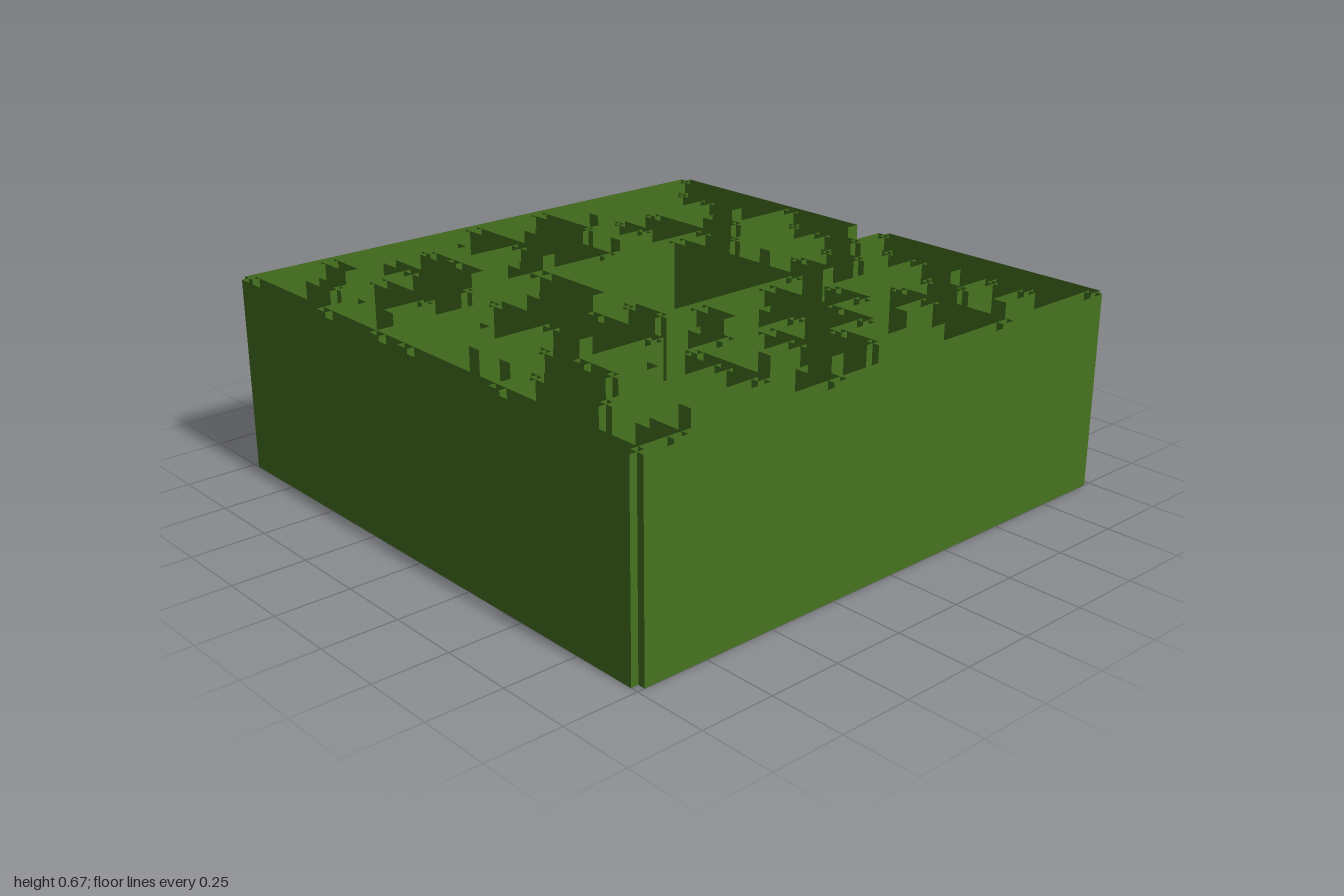
import * as THREE from 'three';

const N = 13;            // cells per side
const PITCH = 0.15;      // cell size
const THICK = 0.05;      // wall thickness
const HEIGHT = 0.67;
const post = (i) => -0.975 + i * PITCH;

function seeded(seed) {
  return () => {
    seed = (seed * 1664525 + 1013904223) % 4294967296;
    return seed / 4294967296;
  };
}

// Straight wall along x, square at its ends, open above and below
function wallGeometry(length) {
  const g = new THREE.BoxGeometry(length, HEIGHT, THICK);
  const index = Array.from(g.index.array);
  g.setIndex([...index.slice(0, 12), ...index.slice(24)]);
  g.clearGroups();
  return g;
}

// across[line][column] are walls along x, along[line][row] are walls along z
function planMaze() {
  const random = seeded(29);
  const grid = () => Array.from({ length: N + 1 }, () => Array(N).fill(true));
  const across = grid(), along = grid();
  const inRoom = (c, r) => c >= 4 && c <= 7 && r >= 4 && r <= 7;
  const visited = Array.from({ length: N }, (_, r) =>
    Array.from({ length: N }, (_, c) => inRoom(c, r)));
  // Walls that are never carved through, as line,cell
  const keptAcross = new Set(['1,1', '1,5', '1,6', '3,3', '3,4', '6,1', '6,2', '6,3',
    '7,0', '7,1', '7,2', '9,1', '9,5', '9,6']);
  const keptAlong = new Set(['1,1', '1,2', '1,3', '7,0', '7,8']);

  // Carve corridors from the entrance
  const stack = [[6, 0]];
  visited[0][6] = true;
  while (stack.length) {
    const [c, r] = stack[stack.length - 1];
    const options = [[1, 0], [-1, 0], [0, 1], [0, -1]].filter(([dc, dr]) => {
      const row = visited[r + dr];
      if (!row || row[c + dc] !== false) return false;
      return dr
        ? !keptAcross.has(`${Math.max(r, r + dr)},${c}`)
        : !keptAlong.has(`${Math.max(c, c + dc)},${r}`);
    });
    if (!options.length) { stack.pop(); continue; }
    const [dc, dr] = options[Math.floor(random() * options.length)];
    if (dr) across[Math.max(r, r + dr)][c] = false;
    else along[Math.max(c, c + dc)][r] = false;
    visited[r + dr][c + dc] = true;
    stack.push([c + dc, r + dr]);
  }

  // Clear the inner room, then open its front door and the back entrance
  for (let line = 5; line <= 7; line++) {
    for (let k = 4; k <= 7; k++) across[line][k] = along[line][k] = false;
  }
  across[8][6] = false;
  across[0][6] = false;
  return { across, along };
}

export function createModel() {
  const model = new THREE.Group();
  model.name = 'hedgeMaze';
  const hedge = new THREE.MeshStandardMaterial({ color: 0x467320, side: THREE.DoubleSide });
  hedge.name = 'hedge green';
  const { across, along } = planMaze();

  // Merge neighbouring wall pieces of each grid line into long walls
  const addWalls = (lines, turned) => lines.forEach((line, i) => {
    for (let k = 0; k < N; k++) {
      if (!line[k]) continue;
      const start = k;
      while (k < N && line[k]) k++;
      const mesh = new THREE.Mesh(wallGeometry((k - start) * PITCH), hedge);
      const middle = (post(start) + post(k)) / 2;
      mesh.name = i === 0 || i === N ? 'outerWall' : 'innerWall';
      if (turned) {
        mesh.rotation.y = Math.PI / 2;
        mesh.position.set(post(i), HEIGHT / 2, middle);
      } else {
        mesh.position.set(middle, HEIGHT / 2, post(i));
      }
      model.add(mesh);
    }
  });
  addWalls(across, false);
  addWalls(along, true);
  return model;
}
